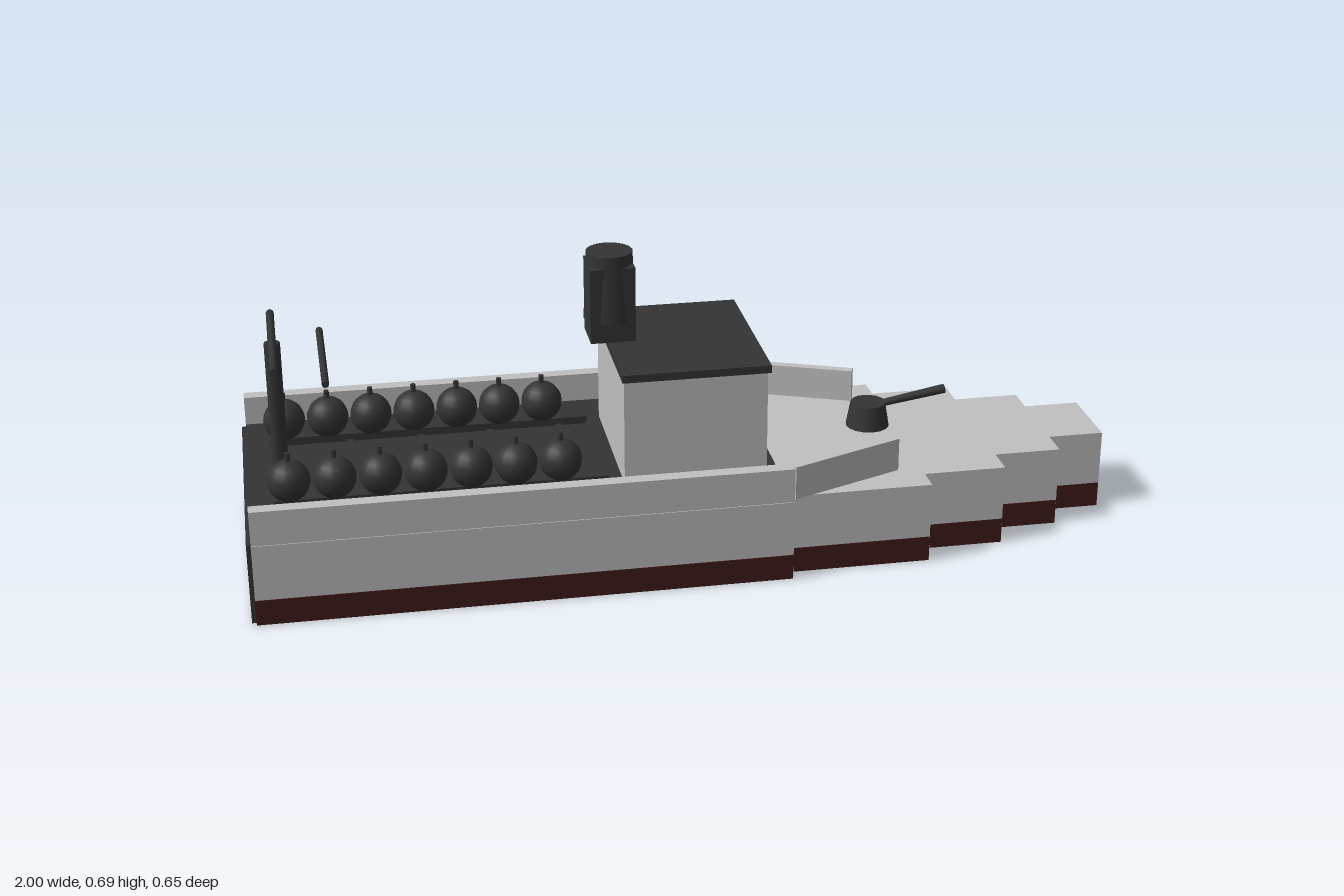
import * as THREE from 'three';

export function createModel() {
  const ship = new THREE.Group();
  ship.name = 'gunboat';
  const mat = (name, color) => {
    const m = new THREE.MeshStandardMaterial({ color });
    m.name = name;
    return m;
  };
  const grey = mat('hullGrey', 0xc0c0c0);
  const dark = mat('charcoal', 0x343434);
  const red = mat('waterlineRed', 0x3f1b1b);

  const add = (name, geometry, material, x = 0, y = 0, z = 0) => {
    const mesh = new THREE.Mesh(geometry, material);
    mesh.name = name;
    mesh.position.set(x, y, z);
    ship.add(mesh);
    return mesh;
  };
  // Box given by its limits on x and y, and its limits on z
  const box = (name, material, x0, x1, y0, y1, z0, z1) =>
    add(name, new THREE.BoxGeometry(x1 - x0, y1 - y0, z1 - z0), material,
      (x0 + x1) / 2, (y0 + y1) / 2, (z0 + z1) / 2);

  // Stepped hull, narrowing towards the bow, with a waterline band on its sides
  const steps = [[-0.99, 0.2, 0.325], [0.2, 0.525, 0.293], [0.525, 0.715, 0.235],
    [0.715, 0.87, 0.163], [0.87, 1, 0.091]];
  for (const [x0, x1, w] of steps) {
    box('hullSection', grey, x0, x1, 0, 0.19, -w, w);
    for (const s of [-1, 1]) {
      const a = s * w, b = s * (w + 0.002);
      box('waterlineBand', red, x0, x1 - 0.001, 0.001, 0.06, Math.min(a, b), Math.max(a, b));
    }
  }
  box('transom', dark, -1, -0.99, 0.001, 0.19, -0.315, 0.315);

  // Aft deck with raised cross slats
  box('aftDeck', dark, -0.99, 0.195, 0.19, 0.204, -0.305, 0.305);
  for (let i = 0; i < 7; i++) {
    const x = -0.915 + i * 0.163;
    box('deckSlat', dark, x - 0.008, x + 0.008, 0.204, 0.208, -0.272, 0.272);
  }

  // Bulwarks, angled breakwaters, rails and mines on both sides
  for (const s of [-1, 1]) {
    add('bulwark', new THREE.BoxGeometry(1.19, 0.08, 0.032), grey, -0.395, 0.232, s * 0.311);
    const wing = add('breakwater', new THREE.BoxGeometry(0.285, 0.078, 0.021), grey,
      0.332, 0.233, s * 0.255);
    wing.rotation.y = s * 0.385;
    add('mineRail', new THREE.BoxGeometry(0.74, 0.018, 0.022), dark, -0.565, 0.213, s * 0.167);
    for (let i = 0; i < 7; i++) {
      const x = -0.9 + i * 0.1;
      add('mine', new THREE.SphereGeometry(0.048, 16, 12), dark, x, 0.266, s * 0.167);
      add('mineCap', new THREE.CylinderGeometry(0.006, 0.006, 0.025, 8), dark, x, 0.319, s * 0.167);
    }
  }

  // Wheelhouse
  box('cabin', grey, -0.16, 0.165, 0.204, 0.455, -0.193, 0.193);
  box('cabinRoof', dark, -0.165, 0.17, 0.455, 0.473, -0.207, 0.207);

  // Funnel
  box('funnelCasing', dark, -0.211, -0.109, 0.49, 0.665, -0.051, 0.051);
  add('funnel', new THREE.CylinderGeometry(0.053, 0.06, 0.157, 16), dark, -0.16, 0.6135, 0);

  // Mast and yards
  add('mast', new THREE.CylinderGeometry(0.018, 0.018, 0.321, 12), dark, -0.915, 0.3645, 0);
  add('upperYard', new THREE.CylinderGeometry(0.009, 0.009, 0.36, 8), dark,
    -0.915, 0.527, 0).rotation.x = Math.PI / 2;
  add('lowerYard', new THREE.CylinderGeometry(0.008, 0.008, 0.324, 8), dark,
    -0.807, 0.484, 0).rotation.x = Math.PI / 2;

  // Deck gun on the foredeck
  add('gunTurret', new THREE.CylinderGeometry(0.041, 0.051, 0.057, 16), dark, 0.45, 0.2465, 0);
  add('gunBarrel', new THREE.CylinderGeometry(0.011, 0.008, 0.19, 10), dark,
    0.541, 0.279, 0).rotation.z = -Math.PI / 2 + 0.165;

  return ship;
}
